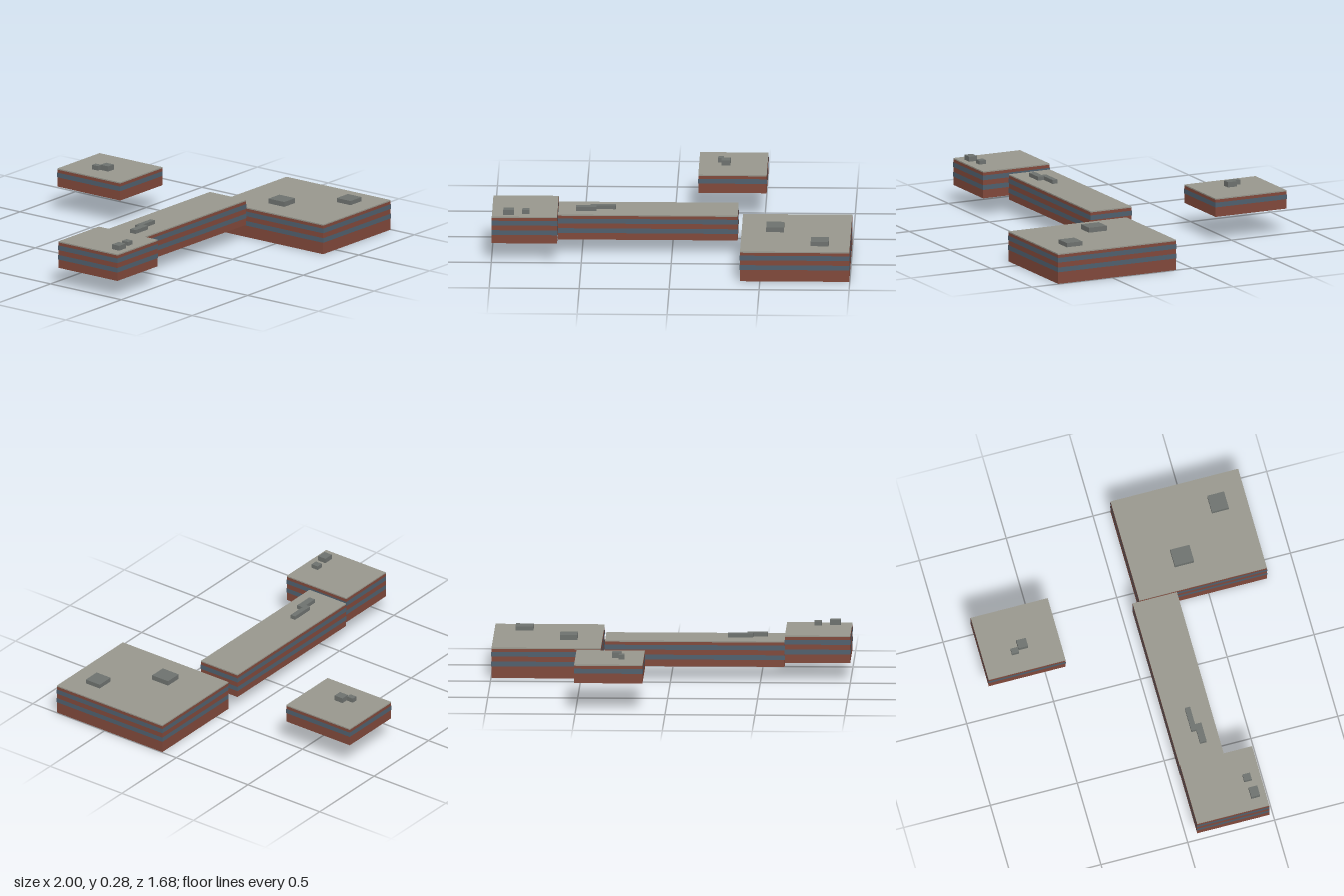
import * as THREE from 'three';

const brick = new THREE.MeshStandardMaterial({ color: 0x80483a, side: THREE.DoubleSide });
brick.name = 'brick';
const glass = new THREE.MeshStandardMaterial({ color: 0x4f5f6d });
glass.name = 'window glass';
const roofing = new THREE.MeshStandardMaterial({ color: 0x98978d });
roofing.name = 'roofing';
const metal = new THREE.MeshStandardMaterial({ color: 0x6d716e });
metal.name = 'roof unit metal';

const ROOF = 0.007;       // roof slab thickness
const BAND = 0.027;       // window band height
const FLOOR = 0.055;      // storey height
const FIRST_BAND = 0.037; // roof top to middle of the highest band

// Box given by its limits
function block(name, material, [x0, x1], [y0, y1], [z0, z1]) {
  const geometry = new THREE.BoxGeometry(x1 - x0, y1 - y0, z1 - z0);
  const mesh = new THREE.Mesh(geometry, material);
  mesh.position.set((x0 + x1) / 2, (y0 + y1) / 2, (z0 + z1) / 2);
  mesh.name = name;
  return mesh;
}

// Four side faces only, open above and below
function ring(...limits) {
  const mesh = block(...limits);
  const index = Array.from(mesh.geometry.index.array);
  index.splice(12, 12);
  mesh.geometry.setIndex(index);
  mesh.geometry.clearGroups();
  return mesh;
}

function building({ name, x, y, z, bands, units }) {
  const group = new THREE.Group();
  group.name = name;
  const top = y[1];
  const grow = ([a, b]) => [a - 0.0015, b + 0.0015];

  // Hollow brick shell with its roof slab
  group.add(ring('walls', brick, x, [y[0], top - ROOF], z));
  group.add(block('roof', roofing, x, [top - ROOF, top], z));

  // Window bands just proud of the brick
  for (let i = 0; i < bands; i++) {
    const middle = top - FIRST_BAND - i * FLOOR;
    group.add(ring('windowBand', glass, grow(x), [middle - BAND / 2, middle + BAND / 2], grow(z)));
  }

  // Rooftop plant
  for (const [x0, x1, z0, z1, height] of units) {
    group.add(block('roofUnit', metal, [x0, x1], [top, top + height], [z0, z1]));
  }
  return group;
}

export function createModel() {
  const model = new THREE.Group();
  model.name = 'campusBuildings';
  const buildings = [
    {
      name: 'largeHall', x: [0.39, 0.997], y: [0, 0.172], z: [0.1, 0.835], bands: 2,
      units: [[0.527, 0.625, 0.342, 0.453, 0.028], [0.78, 0.88, 0.625, 0.722, 0.024]],
    },
    {
      name: 'longWing', x: [-0.633, 0.365], y: [0.08, 0.224], z: [0.055, 0.31], bands: 2,
      units: [[-0.535, -0.422, 0.198, 0.236, 0.022], [-0.455, -0.315, 0.17, 0.2, 0.022]],
    },
    {
      name: 'endWing', x: [-0.998, -0.635], y: [0.103, 0.257], z: [0.055, 0.47], bands: 2,
      units: [[-0.935, -0.876, 0.384, 0.434, 0.028], [-0.83, -0.79, 0.372, 0.415, 0.022]],
    },
    {
      name: 'detachedBlock', x: [0.13, 0.51], y: [0.146, 0.251], z: [-0.838, -0.395], bands: 1,
      units: [[0.255, 0.305, -0.632, -0.577, 0.03], [0.235, 0.267, -0.675, -0.634, 0.026]],
    },
  ];
  for (const spec of buildings) model.add(building(spec));
  return model;
}
